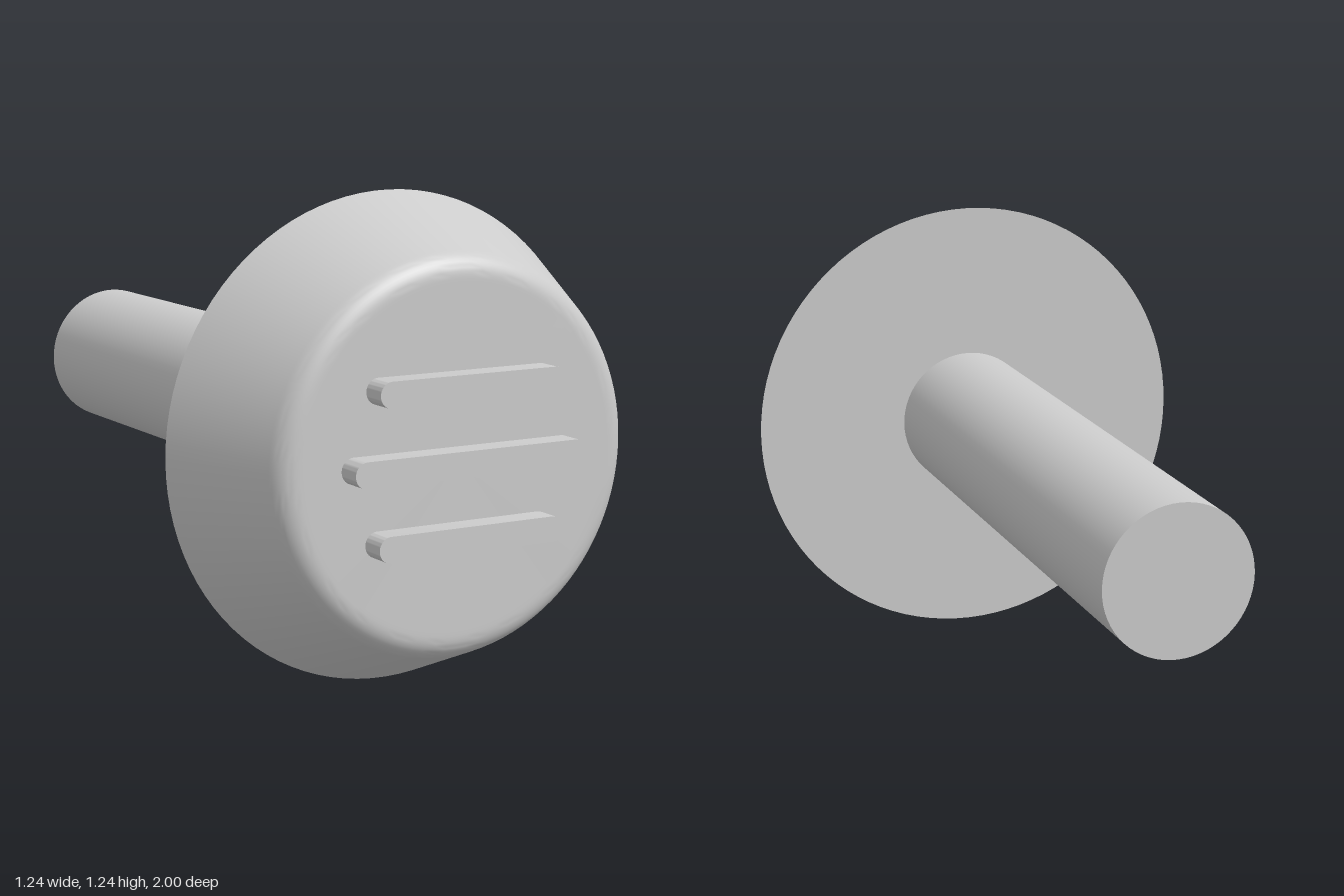
import * as THREE from 'three';
import { toCreasedNormals } from 'three/addons/utils/BufferGeometryUtils.js';

const CENTRE_Y = 0.625;
const BACK_Z = 0.605, FACE_Z = 0.935;
const RIM_R = 0.622, CORNER_R = 0.482;

export function createModel() {
  const model = new THREE.Group();
  const material = new THREE.MeshStandardMaterial({ color: 0xcccccc });

  const add = (name, geometry, y, z) => {
    const mesh = new THREE.Mesh(geometry, material);
    mesh.name = name;
    mesh.position.set(0, y, z);
    model.add(mesh);
  };

  // Tapered head: flat back, conical side, rounded front edge, flat face
  const depth = FACE_Z - BACK_Z;
  const corner = new THREE.Vector2(CORNER_R, depth);
  const rim = new THREE.Vector2(RIM_R, 0);
  const t = 0.046;
  const start = rim.clone().sub(corner).setLength(t).add(corner);
  const end = new THREE.Vector2(CORNER_R - t, depth);
  const fillet = new THREE.QuadraticBezierCurve(start, corner, end).getPoints(10);
  const profile = [
    new THREE.Vector2(0, 0), rim, ...fillet,
    new THREE.Vector2(CORNER_R - t - 0.01, depth), new THREE.Vector2(0, depth),
  ];
  const head = new THREE.LatheGeometry(profile, 96).rotateX(Math.PI / 2);
  add('head', toCreasedNormals(head, 0.6), CENTRE_Y, BACK_Z);

  // Round shaft running back from the head
  const length = BACK_Z + 1;
  const shaft = new THREE.CylinderGeometry(0.195, 0.195, length, 64).rotateX(Math.PI / 2);
  add('shaft', shaft, CENTRE_Y, BACK_Z - length / 2);

  // Three raised grip bars with rounded ends, the middle one longer
  const r = 0.032;
  const bar = (halfLength) => {
    const x = halfLength - r;
    const shape = new THREE.Shape();
    shape.moveTo(-x, -r);
    shape.lineTo(x, -r);
    shape.absarc(x, 0, r, -Math.PI / 2, Math.PI / 2, false);
    shape.lineTo(-x, r);
    shape.absarc(-x, 0, r, Math.PI / 2, Math.PI * 1.5, false);
    const geometry = new THREE.ExtrudeGeometry(shape, {
      depth: 1 - FACE_Z, bevelEnabled: false, curveSegments: 16,
    });
    return toCreasedNormals(geometry, 0.6);
  };
  add('upperBar', bar(0.262), CENTRE_Y + 0.184, FACE_Z);
  add('middleBar', bar(0.328), CENTRE_Y, FACE_Z);
  add('lowerBar', bar(0.262), CENTRE_Y - 0.184, FACE_Z);

  return model;
}
